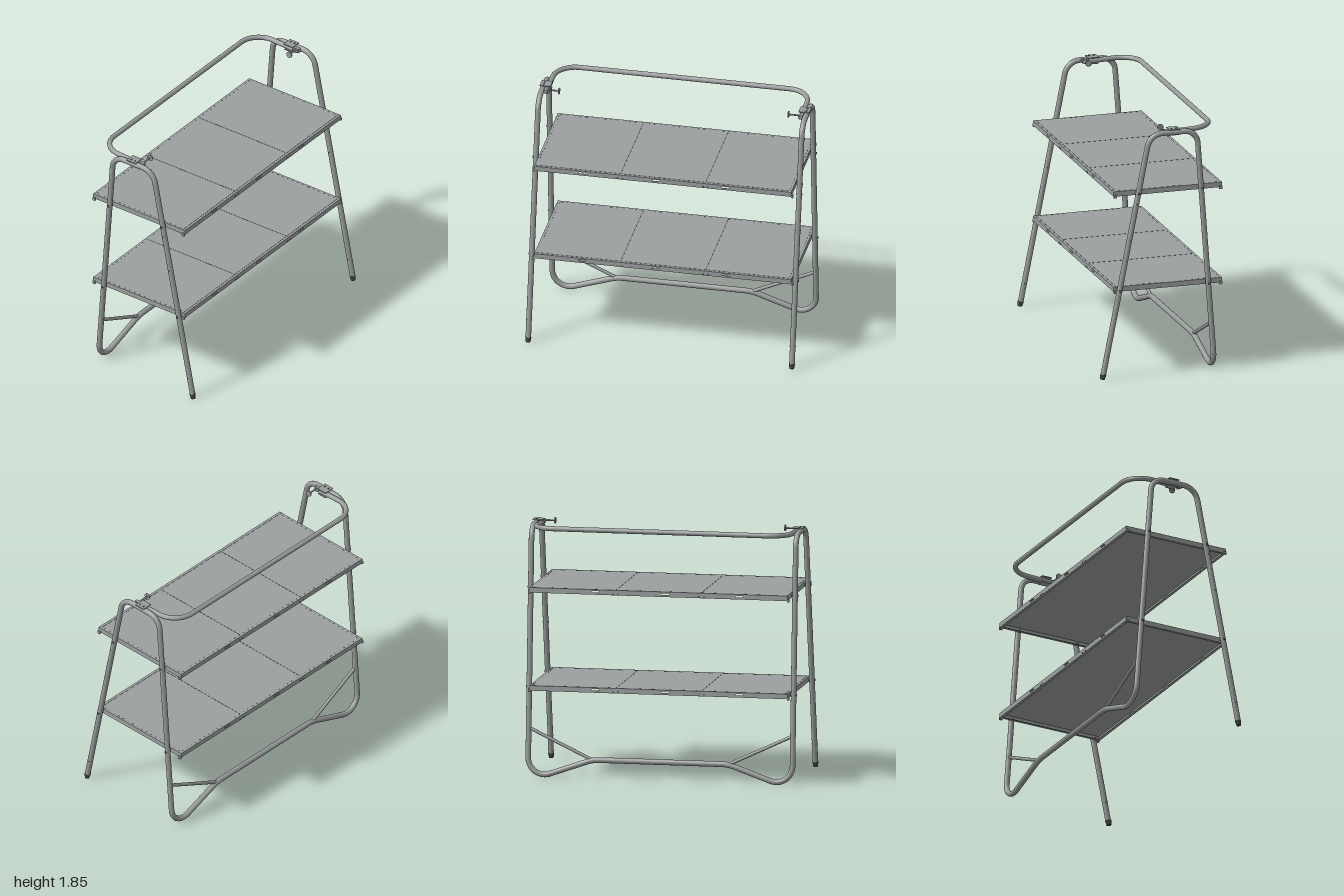
import * as THREE from 'three';
import { mergeGeometries } from 'three/addons/utils/BufferGeometryUtils.js';

const V = (x, y, z) => new THREE.Vector3(x, y, z);
const tubeMetal = new THREE.MeshStandardMaterial({ name: 'tube metal', color: 0x989b9b });
const sheetMetal = new THREE.MeshStandardMaterial({ name: 'sheet metal', color: 0x9ca0a0 });
const darkRubber = new THREE.MeshStandardMaterial({ name: 'dark rubber', color: 0x444545 });
const seamGrey = new THREE.MeshStandardMaterial({ name: 'seam grey', color: 0x606363 });

// Leg centre lines in the side plane
const LEG_X = 0.976, TOP_Y = 1.817;
const frontZ = (y) => 0.45 - 0.1988 * y;
const rearZ = (y) => -0.4045 + 0.0749 * y;

function add(parent, name, geometry, material, x = 0, y = 0, z = 0) {
  const mesh = new THREE.Mesh(geometry, material);
  mesh.name = name;
  mesh.position.set(x, y, z);
  parent.add(mesh);
  return mesh;
}

function box(w, h, d, x = 0, y = 0, z = 0) {
  return new THREE.BoxGeometry(w, h, d).translate(x, y, z);
}

// Cylinder between two points
function rod(a, b, r0, r1 = r0, sides = 12) {
  const dir = b.clone().sub(a), mid = a.clone().add(b).multiplyScalar(0.5);
  const q = new THREE.Quaternion().setFromUnitVectors(V(0, 1, 0), dir.clone().normalize());
  return new THREE.CylinderGeometry(r1, r0, dir.length(), sides)
    .applyQuaternion(q).translate(mid.x, mid.y, mid.z);
}

// Straight runs joined by round bends; each corner is [point, tangent length]
function bentPath(corners) {
  const path = new THREE.CurvePath();
  let from = corners[0][0];
  for (let i = 1; i < corners.length - 1; i++) {
    const [p, d] = corners[i];
    const u = p.clone().sub(corners[i - 1][0]).normalize();
    const v = corners[i + 1][0].clone().sub(p).normalize();
    const turn = u.angleTo(v);
    const k = (4 / 3) * Math.tan(turn / 4) * d / Math.tan(turn / 2);
    const a = p.clone().addScaledVector(u, -d), b = p.clone().addScaledVector(v, d);
    path.add(new THREE.LineCurve3(from, a));
    path.add(new THREE.CubicBezierCurve3(a, a.clone().addScaledVector(u, k), b.clone().addScaledVector(v, -k), b));
    from = b;
  }
  path.add(new THREE.LineCurve3(from, corners[corners.length - 1][0]));
  return path;
}

// Mirrored corner list: the half path runs from the left end to the middle
function mirrored(half) {
  return half.concat(half.slice().reverse().map(([p, d]) => [V(-p.x, p.y, p.z), d]));
}

// Long lip with three slots, facing z
function slottedLip(length, height) {
  const s = new THREE.Shape();
  s.moveTo(-length / 2, 0).lineTo(length / 2, 0).lineTo(length / 2, height).lineTo(-length / 2, height);
  for (const x of [-0.597, -0.05, 0.467]) {
    const h = new THREE.Path();
    h.moveTo(x - 0.027, 0.014).lineTo(x - 0.027, 0.026).lineTo(x + 0.027, 0.026).lineTo(x + 0.027, 0.014);
    s.holes.push(h);
  }
  return new THREE.ExtrudeGeometry(s, { depth: 0.004, bevelEnabled: false });
}

function makeShelf(name, topY) {
  const g = new THREE.Group();
  g.name = name;
  const L = 1.904, zF = 0.357, zB = -0.468, zc = (zF + zB) / 2, D = zF - zB, H = 0.036;
  add(g, 'shelfTop', box(L, 0.005, D, 0, -0.0025, zc), sheetMetal);
  // Long lips with return flanges, and plain end lips
  add(g, 'frontLip', slottedLip(L, H), sheetMetal, 0, -H, zF - 0.004);
  add(g, 'backLip', slottedLip(L, H), sheetMetal, 0, -H, zB);
  for (const [n, z] of [['frontFlange', zF - 0.011], ['backFlange', zB + 0.011]])
    add(g, n, box(L, 0.003, 0.02, 0, -H, z), sheetMetal);
  for (const s of [-1, 1]) {
    add(g, 'endLip', box(0.004, H, D, s * (L / 2 - 0.002), -H / 2, zc), sheetMetal);
    add(g, 'endFlange', box(0.02, 0.003, D, s * (L / 2 - 0.01), -H, zc), sheetMetal);
    // Corner tabs
    for (const z of [zF - 0.012, zB + 0.012])
      add(g, 'cornerTab', box(0.014, 0.022, 0.022, s * 0.957, -0.037, z), sheetMetal);
  }
  // Panel seams, front fold line and edge perforations
  const marks = [box(L, 0.001, 0.005, 0, 0.0005, zF - 0.02)];
  for (const x of [-0.315, 0.315]) marks.push(box(0.005, 0.001, D - 0.03, x, 0.0005, zc));
  for (let x = -0.92; x < 0.93; x += 0.046)
    marks.push(box(0.012, 0.001, 0.005, x, 0.0005, zB + 0.018));
  for (let z = zB + 0.04; z < zF - 0.03; z += 0.046)
    for (const s of [-1, 1]) marks.push(box(0.005, 0.001, 0.012, s * 0.935, 0.0005, z));
  add(g, 'seams', mergeGeometries(marks), seamGrey);
  // Lip rivets beside each seam
  const rivets = [];
  for (const x of [-0.335, -0.3, 0.3, 0.335])
    for (const z of [zF + 0.001, zB - 0.001])
      rivets.push(rod(V(x, -0.028, z - 0.002), V(x, -0.028, z + 0.002), 0.006, 0.006, 8));
  add(g, 'lipRivets', mergeGeometries(rivets), seamGrey);
  g.position.y = topY;
  return g;
}

// Clamp joining the guard rail to one side frame (left side)
function makeClamp() {
  const g = new THREE.Group();
  g.name = 'railClamp';
  add(g, 'clampPlate', box(0.08, 0.006, 0.081, 0.958, 1.841, -0.094), tubeMetal);
  add(g, 'clampLowerPlate', box(0.06, 0.006, 0.075, 0.95, 1.797, -0.094), tubeMetal);
  add(g, 'clampJaw', box(0.025, 0.03, 0.05, 0.945, 1.818, -0.035), tubeMetal);
  for (const z of [-0.11, -0.075])
    add(g, 'clampBolt', rod(V(0.972, 1.842, z), V(0.972, 1.848, z), 0.007, 0.007, 8), seamGrey);
  add(g, 'clampScrew', rod(V(0.95, 1.825, -0.032), V(0.85, 1.825, -0.032), 0.006), tubeMetal);
  add(g, 'screwKnob', rod(V(0.853, 1.825, -0.032), V(0.845, 1.825, -0.032), 0.024, 0.024, 16), tubeMetal);
  add(g, 'screwNut', new THREE.SphereGeometry(0.016, 12, 8), tubeMetal, 0.935, 1.812, -0.032);
  return g;
}

export function createModel() {
  const model = new THREE.Group();
  model.name = 'shelfStand';

  // One continuous bent tube: front leg, top bend, rear leg, base rail and back again
  const legs = mirrored([
    [V(LEG_X, 0.03, frontZ(0.03)), 0],
    [V(LEG_X, TOP_Y, frontZ(TOP_Y)), 0.095],
    [V(LEG_X, TOP_Y, rearZ(TOP_Y)), 0.095],
    [V(LEG_X, -0.03, rearZ(-0.03)), 0.17],
    [V(0.5, 0.137, rearZ(0.137)), 0.05],
  ]);
  add(model, 'frameTube', new THREE.TubeGeometry(bentPath(legs), 700, 0.0205, 12), tubeMetal);

  // Guard rail
  const rail = mirrored([[V(0.941, 1.813, -0.06), 0], [V(0.941, 1.827, -0.41), 0.165]]);
  add(model, 'guardRail', new THREE.TubeGeometry(bentPath(rail), 240, 0.0185, 12), tubeMetal);

  for (const s of [-1, 1]) {
    // Rubber feet
    add(model, 'foot', rod(V(s * LEG_X, 0, frontZ(0)), V(s * LEG_X, 0.036, frontZ(0.036)), 0.017, 0.023), darkRubber);
    // Base braces
    add(model, 'baseBrace', rod(V(s * LEG_X, 0.358, rearZ(0.358)), V(s * 0.51, 0.14, rearZ(0.14)), 0.0125), tubeMetal);
    // Bolts holding the shelves to the legs
    for (const y of [1.378, 0.656])
      for (const z of [frontZ(y), rearZ(y)])
        add(model, 'shelfBolt', rod(V(s * 0.945, y, z), V(s, y, z), 0.009, 0.009, 8), seamGrey);
    // Spare adjustment holes in the front legs
    for (const y of [1.3, 1.03, 0.17])
      add(model, 'legHole', rod(V(s * 0.954, y, frontZ(y)), V(s * 0.998, y, frontZ(y)), 0.006, 0.006, 8), seamGrey);
  }

  // Clamps, the right one turned into place by mirrored vertices
  const leftClamp = makeClamp(), rightClamp = makeClamp();
  for (const m of rightClamp.children) {
    m.geometry.rotateY(Math.PI);
    m.position.x *= -1;
    m.geometry.computeBoundingBox();
    const c = m.geometry.boundingBox.getCenter(V(0, 0, 0));
    m.geometry.translate(0, 0, -2 * c.z);
  }
  model.add(leftClamp, rightClamp);

  model.add(makeShelf('upperShelf', 1.4), makeShelf('lowerShelf', 0.68));
  return model;
}
